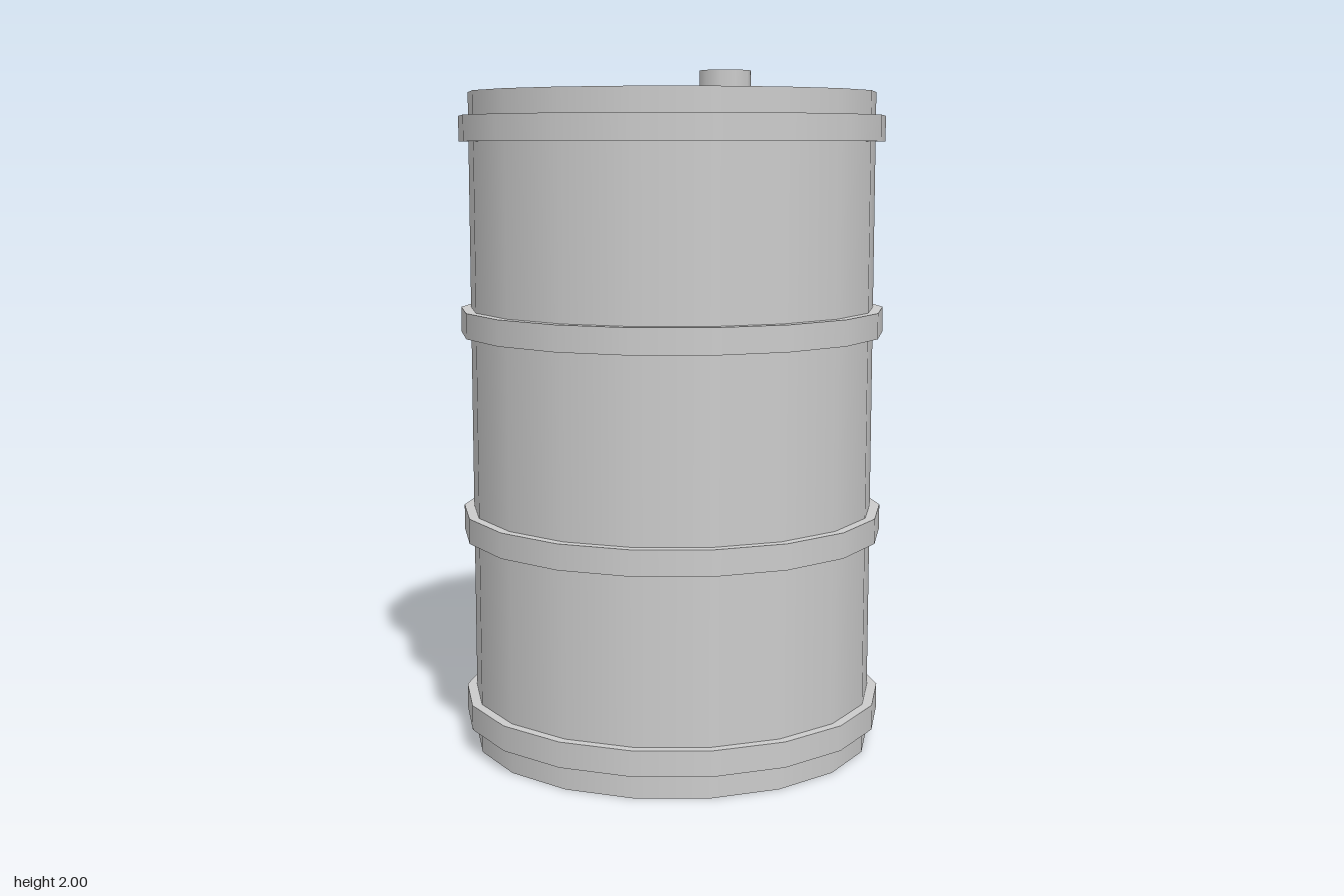
import * as THREE from 'three';

export function createModel() {
  const barrel = new THREE.Group();
  barrel.name = 'barrel';
  const greyMetal = new THREE.MeshStandardMaterial({ color: 0xcccccc });
  greyMetal.name = 'greyMetal';

  // Upright cylinder from y0 to y1, with a corner pointing along +x
  function addCylinder(name, radius, y0, y1, sides, x = 0) {
    const geometry = new THREE.CylinderGeometry(radius, radius, y1 - y0, sides, 1, false, Math.PI / 2);
    const mesh = new THREE.Mesh(geometry, greyMetal);
    mesh.name = name;
    mesh.position.set(x, (y0 + y1) / 2, 0);
    barrel.add(mesh);
  }

  // Drum body
  addCylinder('body', 0.597, 0, 1.932, 18);

  // Four raised hoops
  const hoopHeight = 0.074;
  [0.072, 0.632, 1.23, 1.79].forEach((y, i) => {
    addCylinder(`hoop${i + 1}`, 0.626, y, y + hoopHeight, 18);
  });

  // Filler cap on the lid
  addCylinder('fillerCap', 0.077, 1.93, 2, 10, 0.208);

  return barrel;
}
